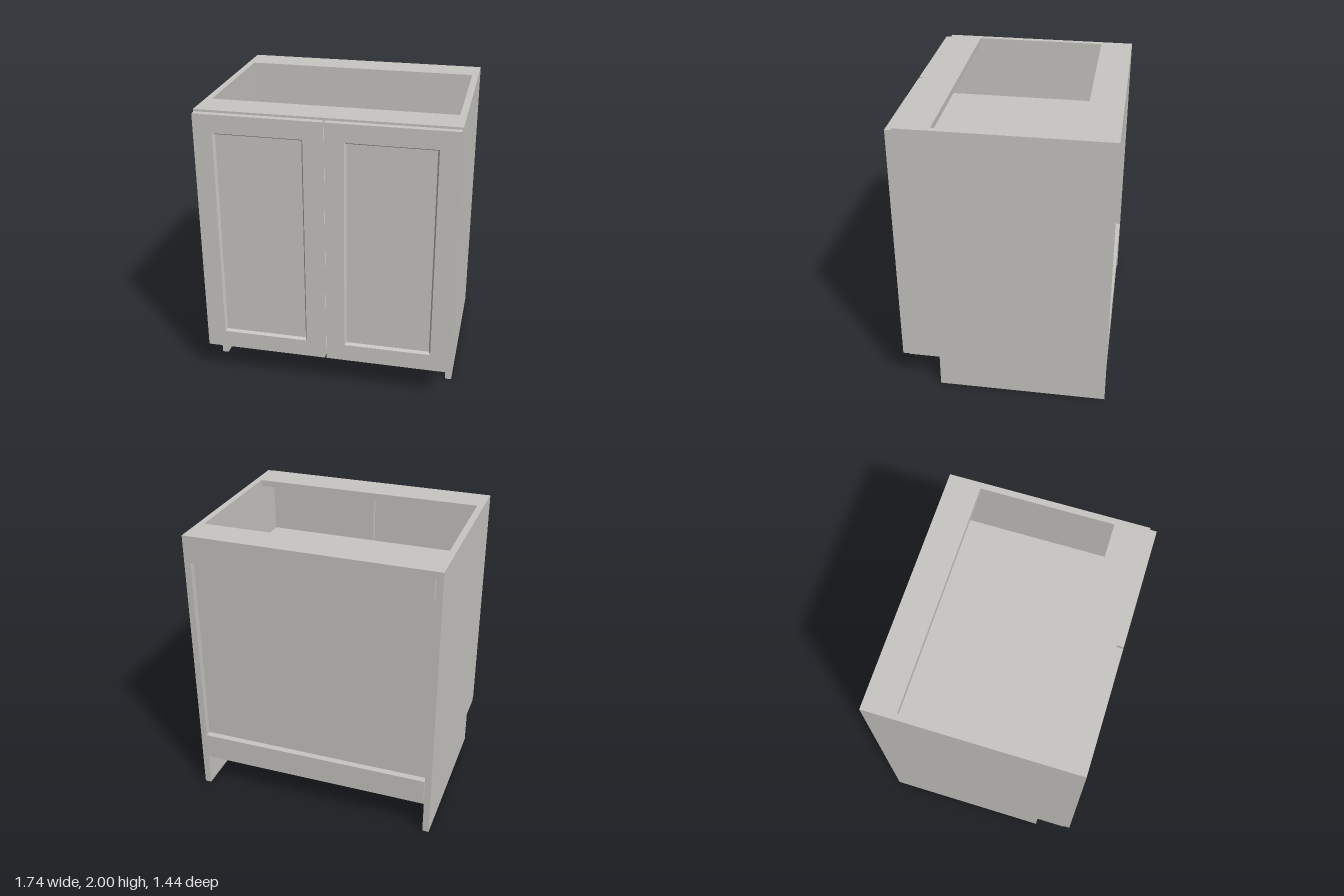
import * as THREE from 'three';

const T = 0.045; // board thickness
const W = 0.87, IN = W - T; // outer and inner half width
const BACK = -0.72, FRONT = 0.675, DOOR = 0.72;

export function createModel() {
  const group = new THREE.Group();
  const paint = new THREE.MeshStandardMaterial({ color: 0xc8c6c2 });
  paint.name = 'warm grey paint';

  const add = (name, geometry, parent = group) => {
    const mesh = new THREE.Mesh(geometry, paint);
    mesh.name = name;
    parent.add(mesh);
    return mesh;
  };
  // board given by its lower and upper limits on each axis
  const board = (name, x0, x1, y0, y1, z0, z1, parent) => {
    const mesh = add(name, new THREE.BoxGeometry(x1 - x0, y1 - y0, z1 - z0), parent);
    mesh.position.set((x0 + x1) / 2, (y0 + y1) / 2, (z0 + z1) / 2);
    return mesh;
  };

  // side panels with the toe notch at the lower front
  const profile = new THREE.Shape([
    [-BACK, 0], [-BACK, 2], [-FRONT, 2], [-FRONT, 0.24], [-0.455, 0.24], [-0.455, 0],
  ].map(([x, y]) => new THREE.Vector2(x, y)));
  for (const [name, x] of [['leftSide', IN], ['rightSide', -W]]) {
    const side = add(name, new THREE.ExtrudeGeometry(profile, { depth: T, bevelEnabled: false }));
    side.rotation.y = Math.PI / 2;
    side.position.x = x;
  }

  // floor and shelves
  board('floor', -IN, IN, 0.24, 0.24 + T, BACK, FRONT);
  for (const y of [0.855, 1.485]) board('shelf', -IN, IN, y, y + T, -0.65, FRONT);

  // top stretchers around the open top
  board('frontStretcher', -IN, IN, 2 - T, 2, 0.44, FRONT);
  board('backStretcher', -IN, IN, 2 - T, 2, BACK, -0.49);

  // back rails and recessed back panel
  board('upperBackRail', -IN + 0.006, IN, 1.81, 2 - T, BACK, BACK + T);
  board('lowerBackRail', -IN + 0.006, IN, 0.24 + T, 0.43, BACK, BACK + T);
  board('backPanel', -IN, IN, 0.24 + T, 2 - T, BACK + T, -0.65);

  // doors: frame, sloped moulding and sunken panel
  const corners = (x0, x1, y0, y1) => [[x0, y0], [x1, y0], [x1, y1], [x0, y1]];
  const points = (c) => c.map(([x, y]) => new THREE.Vector2(x, y));
  const buildDoor = (name, mirror) => {
    const door = new THREE.Group();
    door.name = name;
    group.add(door);
    const span = (a, b) => (mirror ? [-b, -a] : [a, b]);
    const panelZ = DOOR - 0.022;
    const outer = corners(...span(0.006, 0.865), 0.24, 1.985);
    const opening = corners(...span(0.135, 0.735), 0.365, 1.86);
    const inner = corners(...span(0.147, 0.723), 0.377, 1.848);

    const frameShape = new THREE.Shape(points(outer));
    frameShape.holes.push(new THREE.Path(points(opening)));
    const frame = add('doorFrame',
      new THREE.ExtrudeGeometry(frameShape, { depth: DOOR - FRONT, bevelEnabled: false }), door);
    frame.position.z = FRONT;

    const v = [];
    for (let i = 0; i < 4; i++) {
      const j = (i + 1) % 4;
      const a = [...opening[i], DOOR], b = [...opening[j], DOOR];
      const c = [...inner[j], panelZ], d = [...inner[i], panelZ];
      v.push(...a, ...b, ...c, ...a, ...c, ...d);
    }
    const slope = new THREE.BufferGeometry();
    slope.setAttribute('position', new THREE.Float32BufferAttribute(v, 3));
    slope.computeVertexNormals();
    add('doorMoulding', slope, door);

    board('doorPanel', ...span(0.135, 0.735), 0.365, 1.86, FRONT, panelZ, door);
  };
  buildDoor('leftDoor', false);
  buildDoor('rightDoor', true);

  return group;
}
